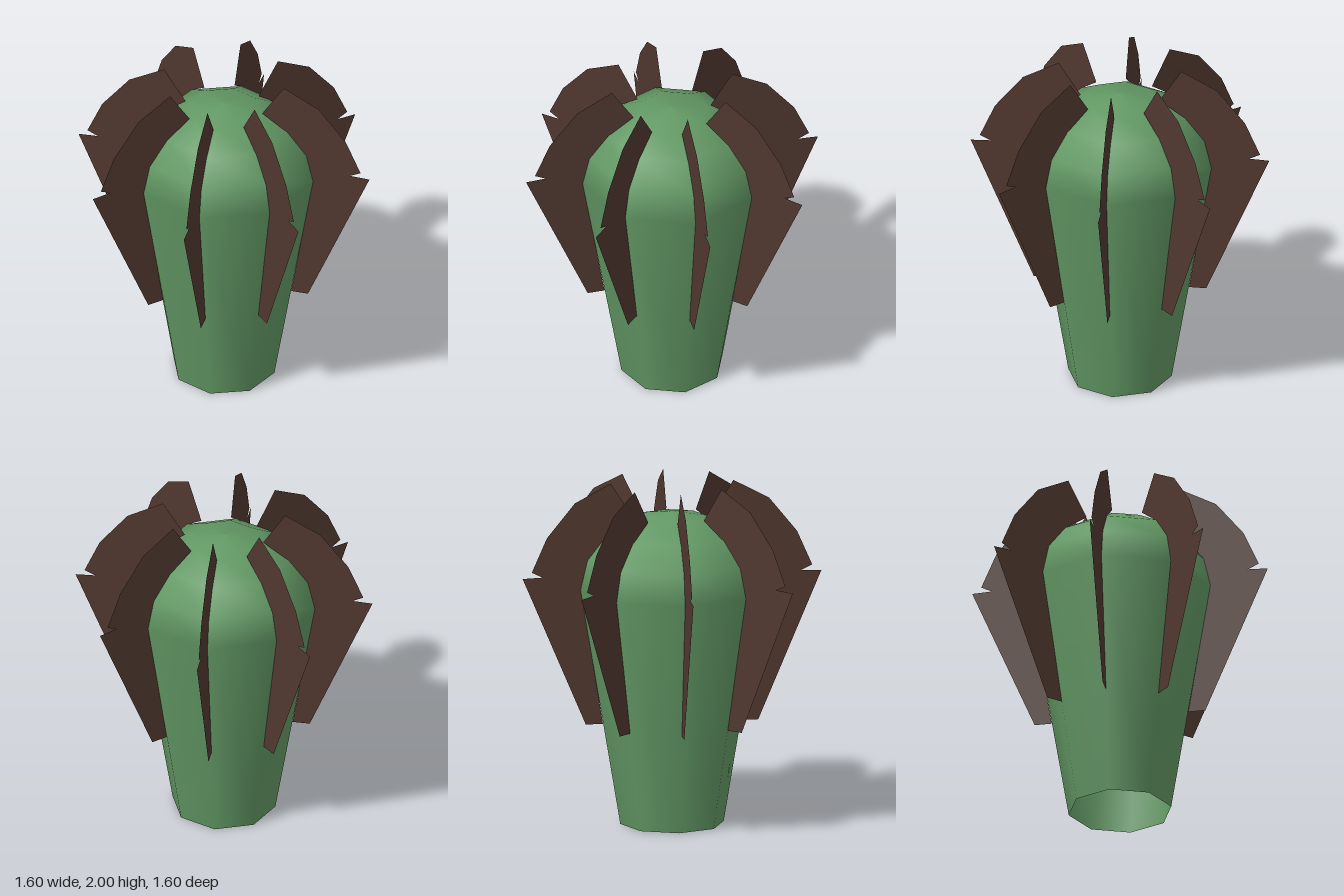
import * as THREE from 'three';

const green = new THREE.MeshStandardMaterial({ color: 0x62995f, side: THREE.DoubleSide });
green.name = 'green';
green.color.set(0x629864);
const brown = new THREE.MeshStandardMaterial({ color: 0x50382f, side: THREE.DoubleSide });
brown.name = 'dark brown';

const SIDES = 8;
const RADIUS = 0.53, SHOULDER = 1.38, DOME = 0.45;

// Tapered eight-sided stem with a faceted dome, open at the bottom
function makeBody() {
  const profile = [new THREE.Vector2(0.3, 0)];
  for (let i = 0; i <= 4; i++) {
    const a = (i / 4) * Math.PI / 2;
    profile.push(new THREE.Vector2(
      i === 4 ? 0 : RADIUS * Math.cos(a), SHOULDER + DOME * Math.sin(a)));
  }
  const body = new THREE.Mesh(new THREE.LatheGeometry(profile, SIDES, Math.PI / SIDES), green);
  body.name = 'body';
  return body;
}

// Thin notched fin: inner edge hugs the body, outer edge flares
function makeFinGeometry() {
  const outline = [
    [0.4, 0.59], [0.5, 0.59], [0.866, 1.455], [0.75, 1.46], [0.813, 1.49],
    [0.725, 1.69], [0.563, 1.89], [0.356, 2.0], [0.228, 1.8],
    [0.375, 1.695], [0.488, 1.55], [0.528, 1.38],
  ].map(([x, y]) => new THREE.Vector2(x, y));
  return new THREE.ShapeGeometry(new THREE.Shape(outline));
}

export function createModel() {
  const model = new THREE.Group();
  model.name = 'finnedBud';
  model.add(makeBody());

  // One fin on every corner of the body
  const finGeometry = makeFinGeometry();
  for (let i = 0; i < SIDES; i++) {
    const fin = new THREE.Mesh(finGeometry, brown);
    fin.name = `fin${i + 1}`;
    fin.rotation.y = (i + 0.5) * Math.PI * 2 / SIDES;
    model.add(fin);
  }
  return model;
}
